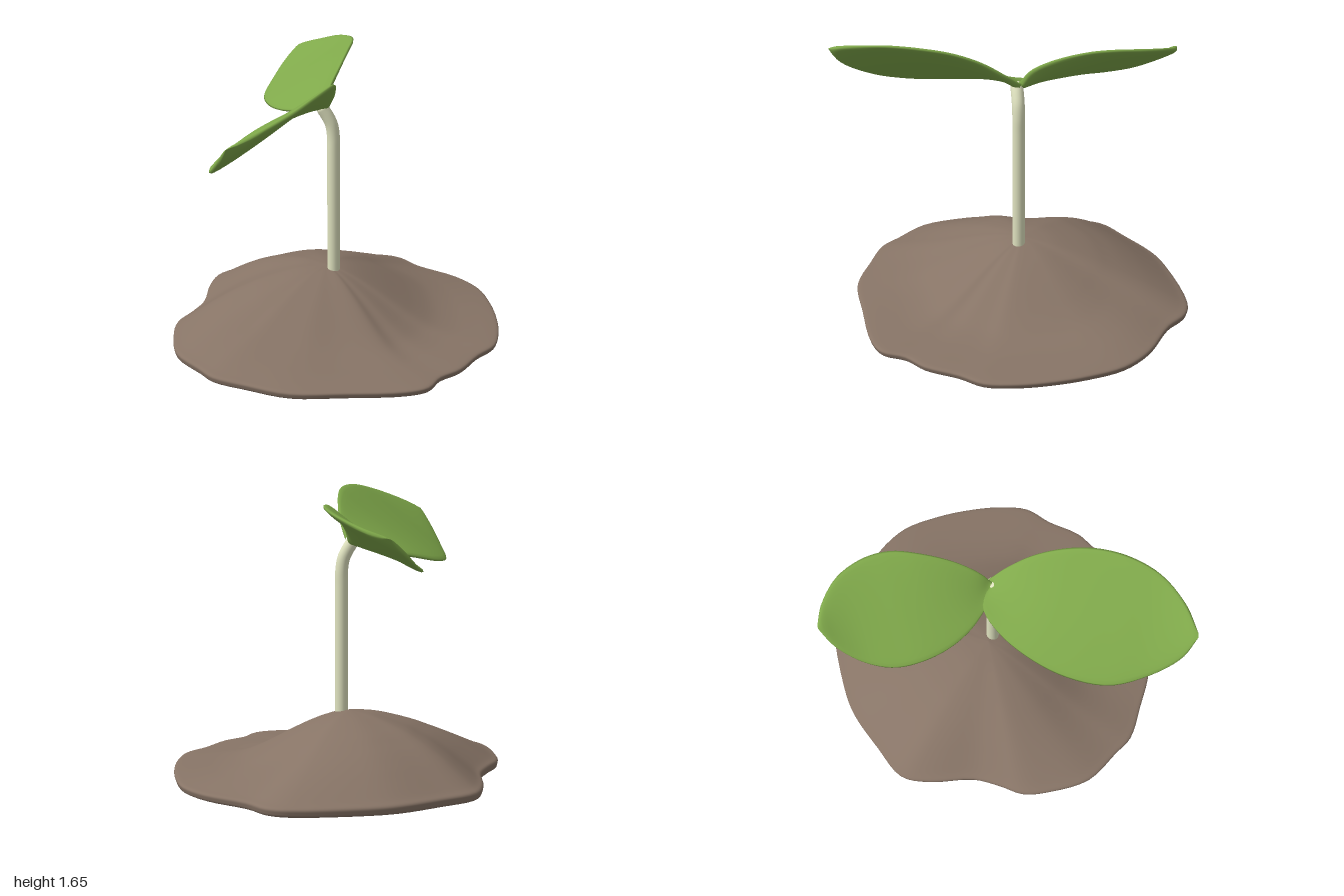
import * as THREE from 'three';

const vec = (p) => new THREE.Vector3(...p);
const curve = (pts, closed = false) => new THREE.CatmullRomCurve3(pts.map(vec), closed);

// Smooth surface from closed cross-sections: point(i, j) gives row i, corner j
function loft(rows, cols, point) {
  const pos = [], index = [];
  for (let i = 0; i <= rows; i++) {
    for (let j = 0; j < cols; j++) pos.push(...point(i / rows, j / cols).toArray());
  }
  for (let i = 0; i < rows; i++) {
    for (let j = 0; j < cols; j++) {
      const k = (j + 1) % cols;
      const a = i * cols + j, b = i * cols + k, c = a + cols, d = b + cols;
      index.push(a, b, c, b, d, c);
    }
  }
  const geo = new THREE.BufferGeometry();
  geo.setAttribute('position', new THREE.Float32BufferAttribute(pos, 3));
  geo.setIndex(index);
  geo.computeVertexNormals();
  return geo;
}

// Leaf blade spanned between two edge curves, with a rounded rim and a cupped base
function leafGeometry(edgeA, edgeB) {
  const A = curve(edgeA), B = curve(edgeB);
  const up = new THREE.Vector3(), mid = new THREE.Vector3();
  return loft(36, 28, (t, s) => {
    const a = A.getPoint(t), b = B.getPoint(t);
    const ang = s * Math.PI * 2;
    const u = Math.cos(ang), v = Math.sin(ang);
    // blade normal from the width and the direction of growth
    const t0 = Math.min(Math.max(t, 0.1), 0.9);
    const wide = A.getPoint(t0).sub(B.getPoint(t0));
    const along = A.getPoint(t0 + 0.05).add(B.getPoint(t0 + 0.05))
      .sub(A.getPoint(t0 - 0.05)).sub(B.getPoint(t0 - 0.05));
    up.crossVectors(along, wide).normalize();
    const taper = Math.min(1, Math.sqrt(Math.max(0, (1 - t) * 10)));
    const thick = 0.02 * taper * Math.sign(v) * Math.abs(v) ** 0.6;
    const cup = -0.035 * (1 - u * u) * Math.sin(Math.PI * Math.sqrt(t)) * (1 - t);
    mid.lerpVectors(b, a, 0.5 + 0.5 * u);
    return mid.clone().addScaledVector(up, thick + cup);
  });
}

// Soil: outline seen from above, and slopes for the gentle and the steep side
const rim = curve([
  [0.955, 0, 0], [0.94, 0, 0.2], [0.89, 0, 0.38], [0.78, 0, 0.5], [0.66, 0, 0.67],
  [0.54, 0, 0.76], [0.46, 0, 0.88], [0.33, 0, 0.925], [0, 0, 0.93], [-0.3, 0, 0.92],
  [-0.54, 0, 0.81], [-0.72, 0, 0.71], [-0.8, 0, 0.6], [-0.93, 0, 0.41], [-0.96, 0, 0.17],
  [-0.945, 0, 0], [-0.87, 0, -0.13], [-0.8, 0, -0.28], [-0.765, 0, -0.55], [-0.7, 0, -0.71],
  [-0.5, 0, -0.82], [-0.26, 0, -0.93], [-0.08, 0, -0.963], [0.34, 0, -0.963],
  [0.46, 0, -0.91], [0.56, 0, -0.78], [0.78, 0, -0.6], [0.9, 0, -0.42], [0.945, 0, -0.2],
], true);
const reach = [0, 0.1, 0.2, 0.32, 0.44, 0.53, 0.63, 0.74, 0.84, 0.95, 1, 1.003, 0.985, 0.9, 0.5, 0];
const gentle = [0.387, 0.382, 0.372, 0.348, 0.318, 0.287, 0.248, 0.195, 0.14, 0.078, 0.055, 0.03, 0.004, 0, 0, 0];
const steep = [0.387, 0.365, 0.325, 0.262, 0.192, 0.142, 0.098, 0.073, 0.062, 0.053, 0.045, 0.025, 0.004, 0, 0, 0];

function moundGeometry() {
  const slope = (heights) => new THREE.SplineCurve(reach.map((r, i) => new THREE.Vector2(r, heights[i])));
  const soft = slope(gentle), sharp = slope(steep);
  const peak = new THREE.Vector3(-0.06, 0, -0.05);
  return loft(60, 116, (t, s) => {
    const out = rim.getPoint(s).sub(peak);
    const w = THREE.MathUtils.smoothstep(0.5 + (out.x + out.z) * 0.3536 / out.length(), 0, 1);
    const p = soft.getPoint(t).lerp(sharp.getPoint(t), w);
    out.multiplyScalar(Math.max(0, p.x)).add(peak);
    out.y = Math.max(0, p.y);
    return out;
  });
}

export function createModel() {
  const group = new THREE.Group();
  const leafMat = new THREE.MeshStandardMaterial({ color: 0x7fa84a });
  const stemMat = new THREE.MeshStandardMaterial({ color: 0xdfe2bf });
  const soilMat = new THREE.MeshStandardMaterial({ color: 0x877466 });
  const add = (name, geo, mat) => {
    const mesh = new THREE.Mesh(geo, mat);
    mesh.name = name;
    group.add(mesh);
    return mesh;
  };

  add('soilMound', moundGeometry(), soilMat);

  // Stem, bent over at the top and closed with a round end
  const path = curve([
    [-0.018, 0.3, -0.016], [-0.018, 0.7, -0.016], [-0.018, 1.1, -0.016], [-0.019, 1.2, -0.016],
    [-0.03, 1.27, -0.016], [-0.053, 1.32, -0.017], [-0.078, 1.36, -0.018],
  ]);
  add('stem', new THREE.TubeGeometry(path, 48, 0.037, 20), stemMat);
  add('stemTip', new THREE.SphereGeometry(0.036, 20, 12), stemMat).position.set(-0.078, 1.36, -0.018);

  // Front leaf: raised edge, then lowered edge, from the stem to the tip
  add('frontLeaf', leafGeometry(
    [[-0.04, 1.38, -0.03], [-0.02, 1.46, 0.07], [-0.015, 1.55, 0.2], [-0.03, 1.615, 0.36], [-0.07, 1.645, 0.53],
      [-0.15, 1.645, 0.7], [-0.27, 1.61, 0.85], [-0.43, 1.55, 0.95], [-0.59, 1.48, 0.995]],
    [[-0.09, 1.375, -0.05], [-0.19, 1.35, -0.1], [-0.33, 1.3, -0.04], [-0.49, 1.255, 0.1], [-0.62, 1.215, 0.28],
      [-0.705, 1.2, 0.5], [-0.705, 1.25, 0.72], [-0.67, 1.35, 0.9], [-0.61, 1.47, 0.99]],
  ), leafMat);

  // Back leaf: lowered edge, then raised edge, from the stem to the tip
  add('backLeaf', leafGeometry(
    [[-0.1, 1.37, -0.02], [-0.19, 1.33, -0.09], [-0.28, 1.3, -0.18], [-0.36, 1.275, -0.32], [-0.405, 1.265, -0.48],
      [-0.41, 1.265, -0.63], [-0.365, 1.3, -0.78], [-0.28, 1.39, -0.92], [-0.19, 1.48, -0.995]],
    [[-0.06, 1.38, -0.03], [-0.03, 1.47, -0.09], [0.03, 1.55, -0.22], [0.09, 1.605, -0.4], [0.125, 1.62, -0.55],
      [0.115, 1.605, -0.7], [0.05, 1.57, -0.85], [-0.06, 1.52, -0.95], [-0.17, 1.485, -0.995]],
  ), leafMat);

  return group;
}
